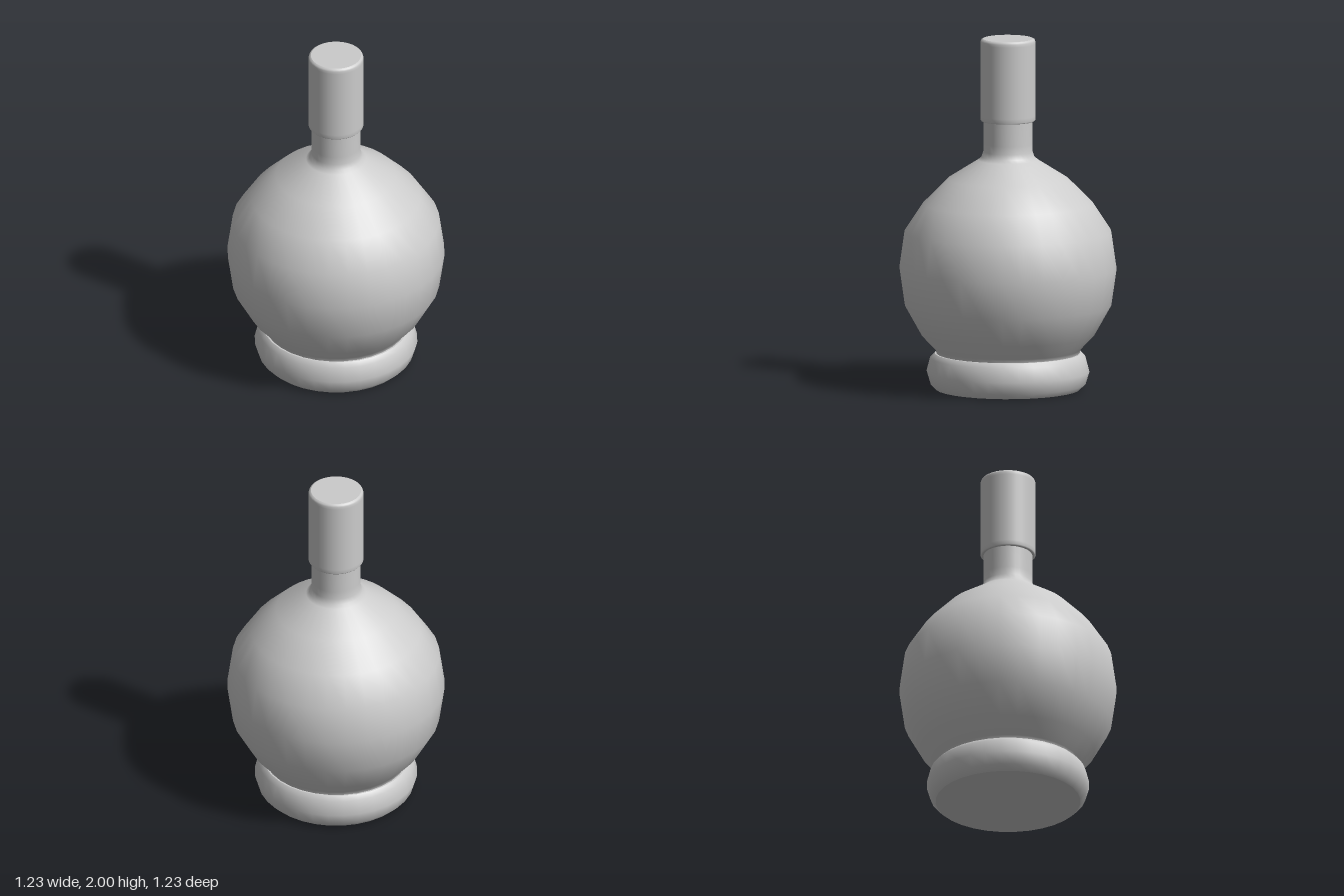
import * as THREE from 'three';
import { mergeGeometries } from 'three/addons/utils/BufferGeometryUtils.js';

const material = new THREE.MeshStandardMaterial({ color: 0xcccccc });

// Revolves each [radius, height] profile smoothly; edges between profiles stay sharp.
function turned(name, ...profiles) {
  const parts = profiles.map((profile) =>
    new THREE.LatheGeometry(profile.map(([r, y]) => new THREE.Vector2(r, y)), 32));
  const mesh = new THREE.Mesh(mergeGeometries(parts), material);
  mesh.name = name;
  return mesh;
}

export function createModel() {
  const bottle = new THREE.Group();
  bottle.name = 'bottle';

  // Rounded foot ring with a flat underside
  bottle.add(turned('foot',
    [[0, 0], [0.41, 0]],
    [[0.41, 0], [0.44, 0.03], [0.461, 0.1], [0.44, 0.18], [0.415, 0.205]],
    [[0.415, 0.205], [0.38, 0.207]]));

  // Globe-shaped body flowing into a straight neck
  bottle.add(turned('body', [
    [0.405, 0.2], [0.41, 0.225], [0.49, 0.31], [0.585, 0.48], [0.615, 0.69],
    [0.585, 0.9], [0.48, 1.06], [0.34, 1.2], [0.17, 1.307], [0.15, 1.325],
    [0.14, 1.355], [0.138, 1.4], [0.138, 1.54],
  ]));

  // Tall cylindrical cap with softened rims
  bottle.add(turned('cap',
    [[0.13, 1.53], [0.15, 1.53]],
    [[0.15, 1.53], [0.155, 1.536], [0.155, 1.56], [0.155, 1.97], [0.155, 1.985], [0.151, 1.995], [0.142, 2]],
    [[0.142, 2], [0, 2]]));

  return bottle;
}
